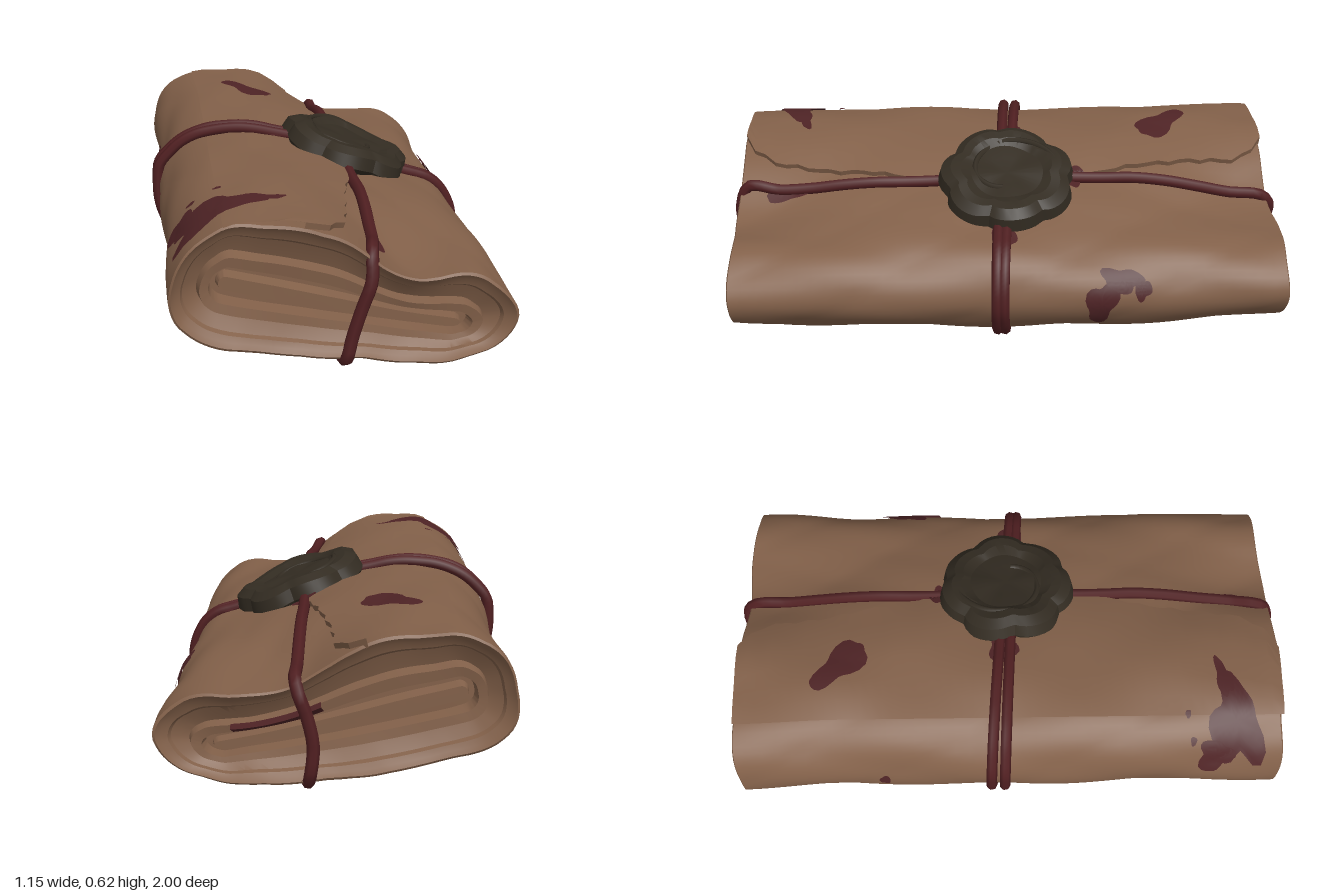
import * as THREE from 'three';
import { toCreasedNormals } from 'three/addons/utils/BufferGeometryUtils.js';

const { clamp, lerp, smoothstep } = THREE.MathUtils;
const material = (name, color, side = THREE.FrontSide) => {
  const m = new THREE.MeshStandardMaterial({ color, side });
  m.name = name;
  return m;
};

// Cross-section of the flattened roll, anticlockwise seen from the front
const OUTLINE = [[0, 0.045], [0.2, 0.03], [0.35, 0.03], [0.47, 0.07], [0.55, 0.18], [0.535, 0.27], [0.46, 0.35],
  [0.3, 0.41], [0.1, 0.475], [-0.1, 0.535], [-0.25, 0.557], [-0.38, 0.555], [-0.49, 0.485], [-0.55, 0.36],
  [-0.525, 0.23], [-0.4, 0.13], [-0.2, 0.08]];
const N = 2000;
const curve = new THREE.CatmullRomCurve3(OUTLINE.map(([x, y]) => new THREE.Vector3(x, y, 0)), true);
curve.arcLengthDivisions = 600;
const ring = curve.getSpacedPoints(N).slice(0, N);
const normals = ring.map((p, i) => {
  const d = ring[(i + 6) % N].clone().sub(ring[(i + N - 6) % N]).normalize();
  return new THREE.Vector3(d.y, -d.x, 0);
});

// Centre line that the inner folds collapse onto
const SPINE = new THREE.Line3(new THREE.Vector3(-0.38, 0.36, 0), new THREE.Vector3(0.35, 0.16, 0));

// Point on the crumpled roll: u around, z along, off outward, t = 1 outside to 0 on the centre line
function surface(u, z, off = 0, t = 1) {
  const i = ((Math.round(u * N) % N) + N) % N, a = u * Math.PI * 2;
  const ridge = Math.abs(Math.sin(4 * a + 6 * z)) + 0.6 * Math.abs(Math.sin(7 * a - 5 * z + 1)) - 1;
  const crumple = 0.005 * Math.sin(3 * a + 5 * z) + 0.003 * Math.sin(7 * a - 9 * z + 1) + 0.006 * ridge;
  const p = ring[i].clone().addScaledVector(normals[i], off + crumple);
  const c = SPINE.closestPointToPoint(p, true, new THREE.Vector3());
  p.lerpVectors(c, p, t);
  p.y += 0.045 * z * z * clamp((0.3 - p.y) / 0.25, 0, 1);
  // The upper layer sinks beside the flap towards both ends
  if (normals[i].y > 0) {
    p.y -= 0.078 * t * smoothstep(Math.abs(z), 0.4, 0.98) * Math.exp(-(((p.x - 0.18) / 0.17) ** 2));
  }
  p.x *= 1 + 0.03 * smoothstep(-z, 0.6, 0.97);
  p.z = z;
  return p;
}

// Position around the section where the given side reaches a coordinate
const SIDES = {
  top: ['x', (n) => n.y > 0.2], bottom: ['x', (n) => n.y < -0.2],
  right: ['y', (n) => n.x < -0.3], left: ['y', (n) => n.x > 0.3],
};
function uAt(side, value) {
  const [axis, test] = SIDES[side];
  let best = 0, gap = Infinity;
  ring.forEach((p, i) => {
    const d = Math.abs(p[axis] - value);
    if (test(normals[i]) && d < gap) { gap = d; best = i; }
  });
  return best / N;
}

// Grid of points joined into a creased surface
function grid(rows, cols, fn, crease = 0.5) {
  const pos = [], index = [];
  for (let i = 0; i <= rows; i++) for (let j = 0; j <= cols; j++) pos.push(...fn(i, j).toArray());
  for (let i = 0; i < rows; i++) for (let j = 0; j < cols; j++) {
    const a = i * (cols + 1) + j, c = a + cols + 1;
    index.push(a, a + 1, c, a + 1, c + 1, c);
  }
  const g = new THREE.BufferGeometry();
  g.setAttribute('position', new THREE.Float32BufferAttribute(pos, 3));
  g.setIndex(index);
  return toCreasedNormals(g, crease);
}

// Linear lookup in a short list of [key, value]
function lookup(list, k) {
  let i = 1;
  while (i < list.length - 1 && list[i][0] < k) i++;
  const [a, b] = [list[i - 1], list[i]];
  return lerp(a[1], b[1], clamp((k - a[0]) / (b[0] - a[0]), 0, 1));
}

export function createModel() {
  const group = new THREE.Group();
  const paper = material('brown paper', 0x826049, THREE.DoubleSide);
  const cordRed = material('dark red cord', 0x501f21);
  const stainRed = material('dark red stain', 0x4e2325, THREE.DoubleSide);
  const wax = material('dark wax', 0x332c22);
  const add = (name, geometry, mat) => {
    const m = new THREE.Mesh(geometry, mat);
    m.name = name;
    group.add(m);
    return m;
  };

  // Rolled wrapper with a thick outer turn and a folded core at both open ends: [t, z]
  const folds = [[0, 0.93], [0.1, 0.93], [0.14, 0.89], [0.24, 0.89], [0.28, 0.945], [0.44, 0.95], [0.48, 0.905],
    [0.6, 0.915], [0.74, 0.93], [0.78, 0.945], [0.88, 0.955], [0.96, 0.97]];
  const rows = folds.map(([t, z]) => [t, -z]);
  for (let i = 0; i <= 40; i++) rows.push([1, -0.965 + i * 1.93 / 40]);
  rows.push(...folds.slice().reverse());
  add('rolledWrapper', grid(rows.length - 1, 110, (i, j) => {
    const [t, z] = rows[i], u = (j % 110) / 110, a = u * Math.PI * 2;
    const p = surface(u, z, 0, t);
    if (Math.abs(z) > 0.85) p.z += 0.01 * t * t * Math.sin(5 * a + z * 4) * Math.sin(2 * a);
    return p;
  }), paper);

  // Loose outer flap ending in a torn edge along the top
  const edge = [[-0.98, -0.1], [-0.93, -0.04], [-0.87, 0], [-0.7, 0.01], [-0.5, 0.05], [-0.3, 0.1], [0, 0.12],
    [0.3, 0.11], [0.5, 0.06], [0.65, 0.04], [0.85, 0], [0.93, -0.06], [0.975, -0.14]];
  const lift = [0.003, 0.008, 0.012, 0.015, 0.018, 0.02, 0.02, -0.012];
  add('outerFlap', grid(48, 7, (i, j) => {
    const z = -0.975 + i * 1.945 / 48;
    const end = lookup(edge, z) + 0.006 * Math.sin(i * 2.3);
    return surface(uAt('top', lerp(-0.38, end, Math.min(j, 6) / 6)), z, lift[j]);
  }, 0.4), paper);

  const cord = (name, points, radius) => add(name, new THREE.TubeGeometry(
    new THREE.CatmullRomCurve3(points, true, 'centripetal'), 160, radius, 7, true), cordRed);

  // Two cords around the girth, parting on one side
  for (const spread of [-1, 1]) {
    const pts = [];
    for (let i = 0; i < 48; i++) {
      const { x, y } = surface(i / 48, 0);
      const k = clamp((x + 0.55) / 1.1, 0, 1);
      const z = lerp(-0.042, 0.03, k) + spread * (0.024 - 0.012 * k);
      pts.push(surface(i / 48, z, y > 0.42 && x < 0.12 ? 0.022 : 0.008));
    }
    cord('girthCord', pts, 0.02);
  }

  // Cord around the length, leaning across each open end
  const length = [];
  const topX = [[-0.96, 0.12], [0, 0.11], [0.5, 0.12], [0.8, 0.1], [0.96, 0.07]];
  for (let i = 0; i <= 16; i++) {
    const z = -0.94 + i * 1.88 / 16;
    length.push(surface(uAt('top', lookup(topX, z)), z, 0.013));
  }
  length.push(new THREE.Vector3(0.075, 0.36, 0.978), new THREE.Vector3(0.045, 0.27, 0.979),
    new THREE.Vector3(0.015, 0.17, 0.979), new THREE.Vector3(0, 0.1, 0.977));
  for (let i = 0; i <= 16; i++) {
    const z = 0.94 - i * 1.88 / 16;
    length.push(surface(uAt('bottom', 0.04 - 0.05 * z), z, 0.009));
  }
  length.push(new THREE.Vector3(0.08, 0.1, -0.977), new THREE.Vector3(0.07, 0.2, -0.979),
    new THREE.Vector3(0.09, 0.3, -0.979), new THREE.Vector3(0.115, 0.37, -0.978));
  cord('lengthCord', length, 0.021);

  // Stains laid on the paper: side, centre across, centre z, half sizes, turn, raggedness
  const stains = [
    ['top', -0.18, -0.6, 0.055, 0.12, 0.75, 0.2], ['top', -0.4, 0.8, 0.14, 0.085, 0.2, 0.25],
    ['top', -0.25, 0.76, 0.075, 0.025, 0.2, 0.2], ['top', -0.5, 0.73, 0.04, 0.06, 0, 0.2],
    ['top', -0.46, 0.65, 0.014, 0.011, 0, 0.1], ['top', -0.375, 0.63, 0.014, 0.01, 0, 0.1],
    ['top', 0.11, 0.8, 0.026, 0.08, 0, 0.15], ['top', 0.4, 0.015, 0.05, 0.045, 0, 0.15],
    ['top', 0.11, -0.25, 0.045, 0.035, 0, 0.15], ['top', -0.12, -0.02, 0.06, 0.05, 0, 0.15],
    ['left', 0.2, -0.32, 0.08, 0.05, 0.3, 0.2], ['left', 0.28, -0.39, 0.035, 0.07, 0.1, 0.2],
    ['left', 0.25, -0.46, 0.035, 0.03, 0, 0.2], ['right', 0.36, -0.45, 0.025, 0.02, 0, 0.1],
  ];
  stains.forEach(([side, c, cz, w, h, turn, rag], k) => {
    add('stain', grid(6, 28, (i, j) => {
      const a = (j % 28) / 28 * Math.PI * 2;
      const r = i / 6 * (1 + rag * Math.sin(3 * a + k) + rag * 0.5 * Math.sin(5 * a + 2 * k));
      const dx = r * w * Math.cos(a), dz = r * h * Math.sin(a);
      const x = c + dx * Math.cos(turn) + dz * Math.sin(turn);
      const z = cz - dx * Math.sin(turn) + dz * Math.cos(turn);
      const flap = side === 'top' && x < lookup(edge, z) ? 0.018 * clamp((x + 0.42) / 0.4, 0, 1) : 0;
      return surface(uAt(side, x), z, 0.008 + flap);
    }, 1.2), stainRed);
  });

  // Stained fold sticking out of the back end
  const tongue = [[0.3, -0.955], [0.42, -0.985], [0.45, -0.945]];
  add('endStain', grid(2, 16, (i, j) => surface(uAt('top', 0.08 + j * 0.27 / 16), tongue[i][1], 0, tongue[i][0])),
    stainRed);

  // Wax seal: lobed disc with a raised rim and sunken face
  const seal = new THREE.Group();
  seal.name = 'waxSeal';
  const profile = [[0, 0.03], [0.07, 0.036], [0.13, 0.034], [0.165, 0.048], [0.2, 0.048], [0.235, 0.026],
    [0.246, -0.02], [0.22, -0.055], [0, -0.055]];
  const disc = new THREE.Mesh(grid(profile.length - 1, 70, (i, j) => {
    const a = -(j % 70) / 70 * Math.PI * 2, [r, y] = profile[i];
    const lobe = 0.89 + 0.13 * Math.sqrt(Math.abs(Math.cos(3.5 * a + 0.4)));
    const s = r * (r > 0.15 ? lobe : 1);
    return new THREE.Vector3(s * Math.sin(a), y + 0.008 * Math.sin(4 * a + 1) * (r / 0.23), s * Math.cos(a));
  }, 0.35), wax);
  disc.name = 'sealDisc';
  seal.add(disc);

  // Low swirled ridge on the seal face
  const swirl = [];
  for (let i = 0; i <= 12; i++) {
    const a = 3.3 + i * 0.36, r = 0.19 - i * 0.0095;
    swirl.push(new THREE.Vector3(r * Math.sin(a), r > 0.15 ? 0.042 : 0.03, r * Math.cos(a)));
  }
  const ridge = new THREE.Mesh(new THREE.TubeGeometry(new THREE.CatmullRomCurve3(swirl), 40, 0.011, 6), wax);
  ridge.name = 'sealRidge';
  seal.add(ridge);
  seal.position.set(0.142, 0.494, -0.005);
  seal.rotation.z = -0.36;
  group.add(seal);

  return group;
}
